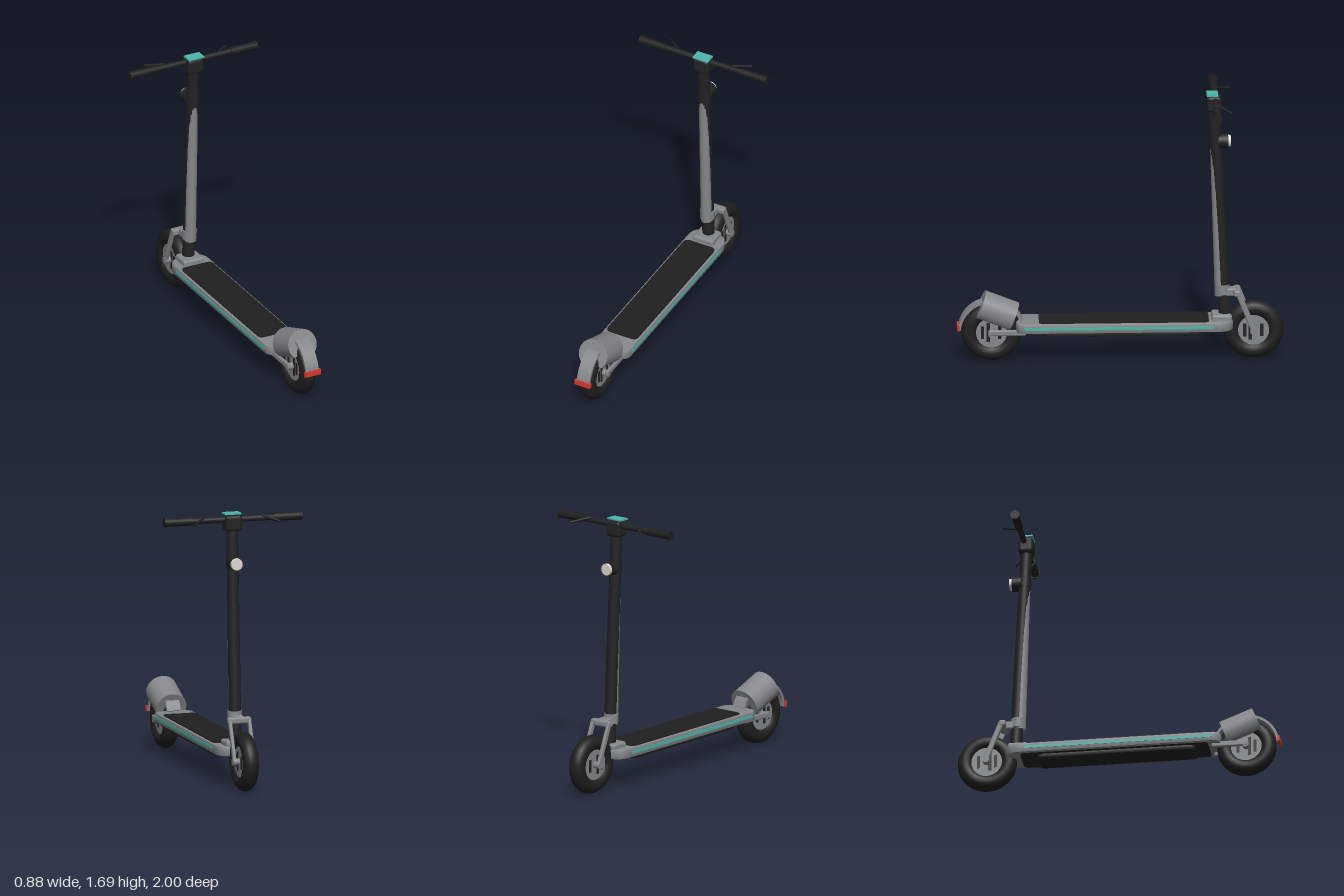
import * as THREE from 'three';
import { RoundedBoxGeometry } from 'three/addons/geometries/RoundedBoxGeometry.js';
import { toCreasedNormals } from 'three/addons/utils/BufferGeometryUtils.js';

const mat = (name, color) => Object.assign(new THREE.MeshStandardMaterial({ color }), { name });
const V = (x, y, z) => new THREE.Vector3(x, y, z);

export function createModel() {
  const grey = mat('grey metal', 0x85878a);
  const black = mat('black', 0x222222);
  const rubber = mat('rubber', 0x1f1f1f);
  const teal = mat('teal', 0x4db6ac);
  const red = mat('red', 0xd93a30);
  const white = mat('lens white', 0xdedad2);

  const model = new THREE.Group();
  model.name = 'kickScooter';
  const add = (name, geo, material, x = 0, y = 0, z = 0, parent = model) => {
    const m = new THREE.Mesh(geo, material);
    m.name = name;
    m.position.set(x, y, z);
    parent.add(m);
    return m;
  };
  const box = (w, h, d) => new THREE.BoxGeometry(w, h, d);
  const rbox = (w, h, d, r) => new RoundedBoxGeometry(w, h, d, 3, r);

  // Tube or bar running between two points
  const between = (name, geo, material, a, b) => {
    const m = add(name, geo, material);
    m.position.copy(a).add(b).multiplyScalar(0.5);
    m.quaternion.setFromUnitVectors(V(0, 1, 0), b.clone().sub(a).normalize());
    return m;
  };
  const rod = (name, r0, r1, material, a, b, seg = 24) =>
    between(name, new THREE.CylinderGeometry(r1, r0, a.distanceTo(b), seg), material, a, b);

  // Horizontal slab with rounded plan: half width, z range, front and rear corner radii
  const slab = (name, w, z0, z1, rf, rr, y0, y1, material, bevel = 0) => {
    const s = new THREE.Shape();
    const h = w - bevel, f = -z0 - bevel, b = -z1 + bevel;
    s.moveTo(-h + rr, b);
    s.lineTo(h - rr, b);
    s.quadraticCurveTo(h, b, h, b + rr);
    s.lineTo(h, f - rf);
    s.quadraticCurveTo(h, f, h - rf, f);
    s.lineTo(-h + rf, f);
    s.quadraticCurveTo(-h, f, -h, f - rf);
    s.lineTo(-h, b + rr);
    s.quadraticCurveTo(-h, b, -h + rr, b);
    const geo = new THREE.ExtrudeGeometry(s, {
      depth: y1 - y0 - 2 * bevel, bevelEnabled: bevel > 0, bevelSize: bevel,
      bevelThickness: bevel, bevelSegments: 2, curveSegments: 10,
    });
    geo.rotateX(-Math.PI / 2);
    return add(name, toCreasedNormals(geo, 0.6), material, 0, y0 + bevel, 0);
  };

  // Deck, grip mat, battery tray and side stripes
  slab('deck', 0.12, -0.69, 0.64, 0.09, 0.05, 0.197, 0.258, grey, 0.008);
  slab('gripMat', 0.106, -0.54, 0.5, 0.035, 0.035, 0.256, 0.264, rubber);
  slab('underPlate', 0.108, -0.6, 0.56, 0.04, 0.03, 0.193, 0.199, black);
  slab('batteryTray', 0.083, -0.5, 0.48, 0.03, 0.03, 0.168, 0.197, black, 0.006);
  for (const s of [-1, 1]) {
    add('sideStripe', box(0.006, 0.018, 1.16), teal, s * 0.12, 0.229, 0.01);
  }
  add('stemBase', rbox(0.14, 0.09, 0.125, 0.015), grey, 0, 0.245, -0.62);

  // Wheels
  const buildWheel = (name, y, z) => {
    const g = new THREE.Group();
    g.name = name;
    g.position.set(0, y, z);
    model.add(g);
    const tyre = new THREE.TorusGeometry(0.133, 0.05, 20, 56);
    tyre.rotateY(Math.PI / 2);
    add('tyre', tyre, rubber, 0, 0, 0, g);
    const hub = new THREE.CylinderGeometry(0.098, 0.098, 0.064, 40);
    hub.rotateZ(Math.PI / 2);
    add('hub', hub, grey, 0, 0, 0, g);
    const axle = new THREE.CylinderGeometry(0.022, 0.022, 0.15, 20);
    axle.rotateZ(Math.PI / 2);
    add('axle', axle, grey, 0, 0, 0, g);
    for (const s of [-1, 1]) for (const [dz, h] of [[0.055, 0.08], [0.02, 0.12], [-0.05, 0.08]]) {
      add('hubSlot', box(0.004, h, 0.02), black, s * 0.033, 0, dz, g);
    }
  };
  buildWheel('frontWheel', 0.185, -0.815);
  buildWheel('rearWheel', 0.185, 0.79);

  // Leaning stem with a grey rear spine that sinks into it near the top
  rod('stem', 0.038, 0.036, black, V(0, 0.27, -0.64), V(0, 1.62, -0.572));
  rod('stemSpine', 0.035, 0.033, grey, V(0, 0.4, -0.613), V(0, 1.43, -0.58));
  rod('stemCollar', 0.045, 0.045, grey, V(0, 0.41, -0.626), V(0, 0.47, -0.623));
  rod('stemClamp', 0.041, 0.041, black, V(0, 1.355, -0.586), V(0, 1.415, -0.583));

  // Front fork
  add('forkNeck', rbox(0.07, 0.05, 0.09, 0.01), grey, 0, 0.425, -0.67);
  add('forkCrown', rbox(0.15, 0.04, 0.045, 0.012), grey, 0, 0.425, -0.715);
  for (const s of [-1, 1]) {
    const top = V(s * 0.062, 0.43, -0.72), bottom = V(s * 0.062, 0.18, -0.82);
    between('forkLeg', rbox(0.022, top.distanceTo(bottom), 0.034, 0.008), grey, bottom, top);
  }

  // Headlight
  rod('headlight', 0.045, 0.045, black, V(0, 1.385, -0.6), V(0, 1.385, -0.66), 28);
  rod('headlightLens', 0.038, 0.036, white, V(0, 1.385, -0.655), V(0, 1.385, -0.676), 28);

  // Handlebar, head block and display
  add('headBlock', rbox(0.107, 0.1, 0.092, 0.02), black, 0, 1.63, -0.573);
  rod('handlebar', 0.018, 0.018, black, V(-0.43, 1.652, -0.582), V(0.43, 1.652, -0.582));
  add('displayMount', box(0.07, 0.02, 0.05), black, 0, 1.674, -0.567);
  add('display', box(0.106, 0.009, 0.07), teal, 0, 1.686, -0.563);
  for (const s of [-1, 1]) {
    const p = (x) => V(s * x, 1.652, -0.582);
    rod('grip', 0.025, 0.025, rubber, p(0.26), p(0.435));
    rod('gripEnd', 0.029, 0.029, rubber, p(0.428), p(0.44));
    rod('brakeLever', 0.008, 0.007, black, V(s * 0.19, 1.668, -0.59), V(s * 0.28, 1.64, -0.678), 12);
  }

  // Rear hood: a tilted drum with its underside cut flat
  const cut = -Math.asin(0.066 / 0.097);
  const drum = new THREE.Shape();
  drum.absarc(0, 0, 0.097, cut, Math.PI - cut, false);
  drum.closePath();
  const hoodGeo = new THREE.ExtrudeGeometry(drum, { depth: 0.218, bevelEnabled: false, curveSegments: 40 });
  hoodGeo.translate(0, 0, -0.109);
  const hood = add('rearHood', toCreasedNormals(hoodGeo, 0.6), grey, 0, 0.312, 0.757);
  hood.rotation.x = -0.375;

  // Curved mudguard strip around the rear wheel
  const arch = new THREE.Shape();
  arch.absarc(0, 0, 0.206, 0.08, 2.75, false);
  arch.absarc(0, 0, 0.19, 2.75, 0.08, true);
  arch.closePath();
  const archGeo = new THREE.ExtrudeGeometry(arch, { depth: 0.088, bevelEnabled: false, curveSegments: 32 });
  archGeo.translate(0, 0, -0.044);
  archGeo.rotateY(-Math.PI / 2);
  add('mudguard', toCreasedNormals(archGeo, 0.6), grey, 0, 0.185, 0.79);
  add('tailLight', box(0.11, 0.034, 0.016), red, 0, 0.217, 0.992);

  // Rear wheel arms
  for (const s of [-1, 1]) {
    add('rearArm', rbox(0.022, 0.036, 0.23, 0.008), grey, s * 0.066, 0.192, 0.695);
  }
  return model;
}
